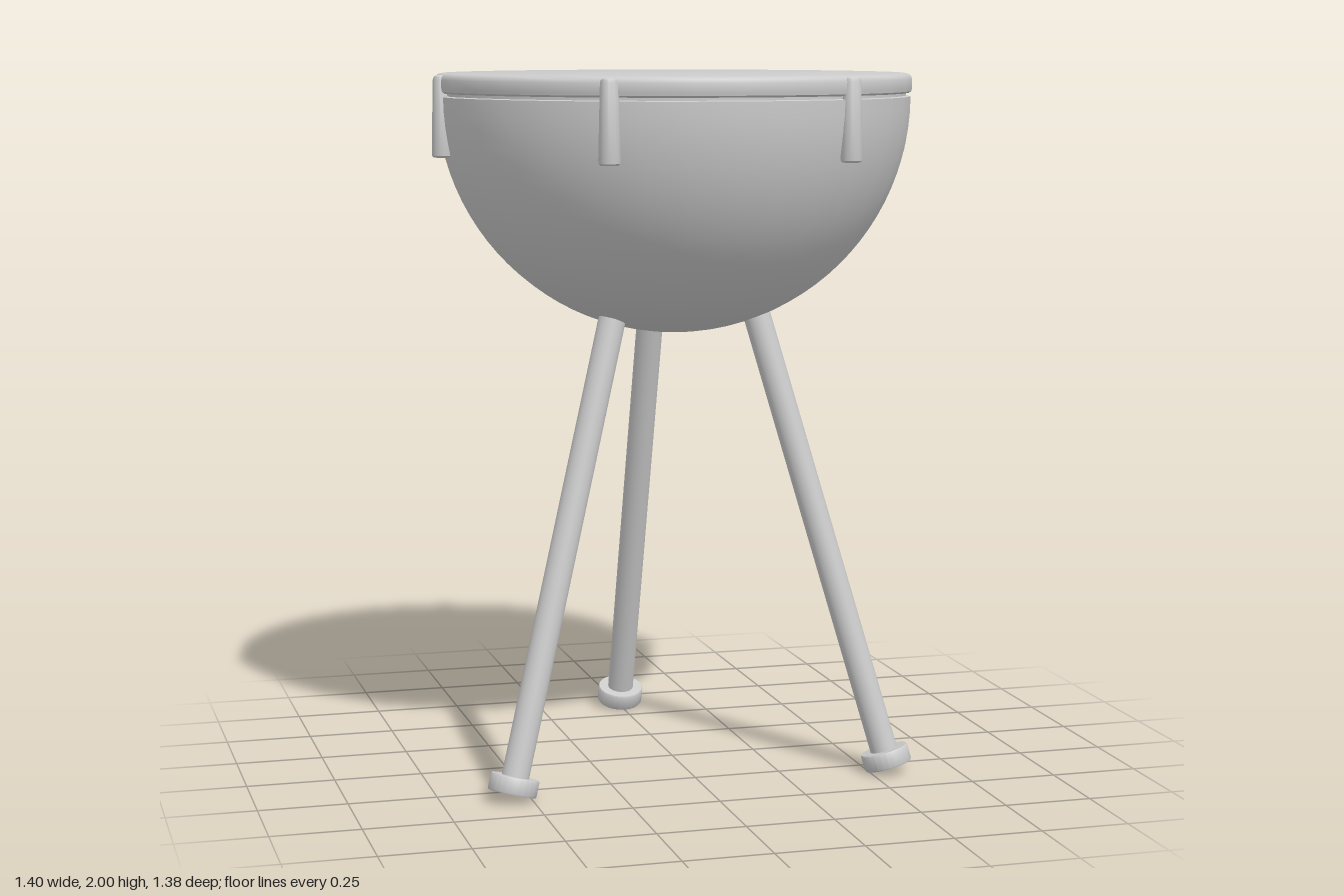
import * as THREE from 'three';
import { toCreasedNormals } from 'three/addons/utils/BufferGeometryUtils.js';

const material = new THREE.MeshStandardMaterial({ color: 0xcccccc });
const CENTRE_Z = 0.015;
const RIM_Y = 1.935;

function addMesh(parent, name, geometry) {
  const mesh = new THREE.Mesh(geometry, material);
  mesh.name = name;
  parent.add(mesh);
  return mesh;
}

// Revolved solid from [radius, y] pairs listed from bottom to top
function turned(points, segments, crease = 0.6) {
  const profile = points.map(([r, y]) => new THREE.Vector2(r, y));
  return toCreasedNormals(new THREE.LatheGeometry(profile, segments), crease);
}

export function createModel() {
  const model = new THREE.Group();
  model.name = 'kettledrum';
  const drum = new THREE.Group();
  drum.name = 'drum';
  drum.position.z = CENTRE_Z;
  model.add(drum);

  // Hemispherical bowl with a closed lip
  const bowl = [];
  for (let i = 0; i <= 24; i++) {
    const a = (i / 24) * Math.PI / 2;
    bowl.push([0.673 * Math.sin(a), RIM_Y - 0.673 * Math.cos(a)]);
  }
  bowl.push([0.655, RIM_Y + 0.003]);
  addMesh(drum, 'bowl', turned(bowl, 32));

  // Recessed band between bowl and hoop
  addMesh(drum, 'neckBand', new THREE.CylinderGeometry(0.66, 0.66, 0.04, 32, 1, true))
    .position.y = 1.94;

  // Rounded hoop with the flat drumhead
  addMesh(drum, 'drumhead', turned([
    [0, 1.945], [0.668, 1.945], [0.675, 1.95], [0.677, 1.957],
    [0.677, 1.983], [0.674, 1.992], [0.667, 1.998], [0.658, 2], [0, 2],
  ], 32));

  // Six tapered tension lugs around the rim
  const lugShape = turned([
    [0, 1.768], [0.024, 1.768], [0.029, 1.773], [0.03, 1.78],
    [0.025, 1.983], [0.022, 1.992], [0.016, 1.996], [0, 1.996],
  ], 16);
  for (let i = 0; i < 6; i++) {
    const a = i * Math.PI / 3;
    addMesh(drum, 'tensionLug', lugShape)
      .position.set(0.669 * Math.cos(a), 0, 0.669 * Math.sin(a));
  }

  // Three splayed legs, each with a foot square to its axis
  const top = new THREE.Vector3(0, 1.325, 0.243);
  const bottom = new THREE.Vector3(0, 0.042, 0.634);
  const axis = top.clone().sub(bottom);
  const length = axis.length();
  for (let i = 0; i < 3; i++) {
    const turn = new THREE.Group();
    turn.name = ['backLeg', 'leftLeg', 'rightLeg'][i];
    turn.rotation.y = Math.PI + i * Math.PI * 2 / 3;
    drum.add(turn);
    const leg = new THREE.Group();
    leg.name = 'legAssembly';
    leg.position.copy(bottom);
    leg.quaternion.setFromUnitVectors(new THREE.Vector3(0, 1, 0), axis.clone().normalize());
    turn.add(leg);
    addMesh(leg, 'legTube', new THREE.CylinderGeometry(0.039, 0.039, length, 20))
      .position.y = length / 2;
    addMesh(leg, 'foot', turned([
      [0, -0.024], [0.067, -0.024], [0.069, -0.021],
      [0.069, 0.021], [0.067, 0.024], [0, 0.024],
    ], 24));
  }
  return model;
}
